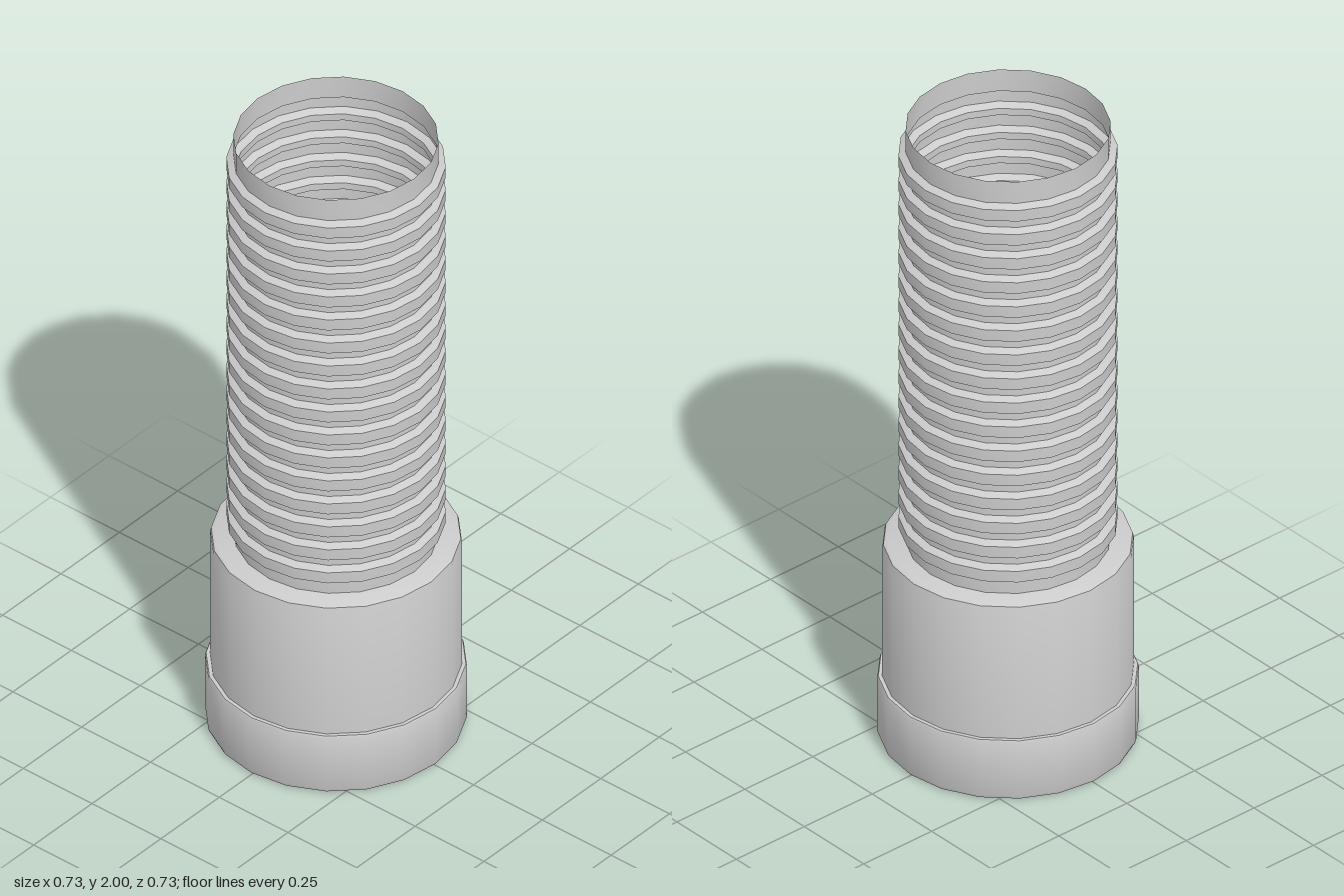
import * as THREE from 'three';
import { toCreasedNormals } from 'three/addons/utils/BufferGeometryUtils.js';

const SIDES = 20;

// Revolve a [radius, height] profile, listed from bottom to top
function lathe(name, profile, side = THREE.FrontSide) {
  const points = profile.map(([r, y]) => new THREE.Vector2(r, y));
  const geometry = toCreasedNormals(new THREE.LatheGeometry(points, SIDES), 0.6);
  const mesh = new THREE.Mesh(geometry, new THREE.MeshStandardMaterial({ color: 0xcccccc, side }));
  mesh.name = name;
  return mesh;
}

export function createModel() {
  const group = new THREE.Group();
  group.name = 'corrugatedHose';

  // Wide band around the foot, closed underneath
  group.add(lathe('baseBand', [
    [0, 0], [0.352, 0], [0.360, 0.004], [0.364, 0.014],
    [0.364, 0.19], [0.361, 0.196], [0.345, 0.196],
  ]));

  // Solid collar with a softened top edge
  group.add(lathe('collar', [
    [0.35, 0.08], [0.35, 0.62], [0.347, 0.63], [0.338, 0.635], [0, 0.635],
  ]));

  // Thin open hose with evenly spaced ridges
  const neck = 0.285, ridge = 0.305, ridges = 16, pitch = 0.0798;
  const profile = [[neck, 0.635]];
  for (let i = 0; i < ridges; i++) {
    const y = 0.703 + i * pitch;
    profile.push([neck, y - 0.029], [ridge, y - 0.018], [ridge, y + 0.018], [neck, y + 0.029]);
  }
  profile.push([neck, 2]);
  group.add(lathe('ridgedHose', profile, THREE.DoubleSide));

  return group;
}
